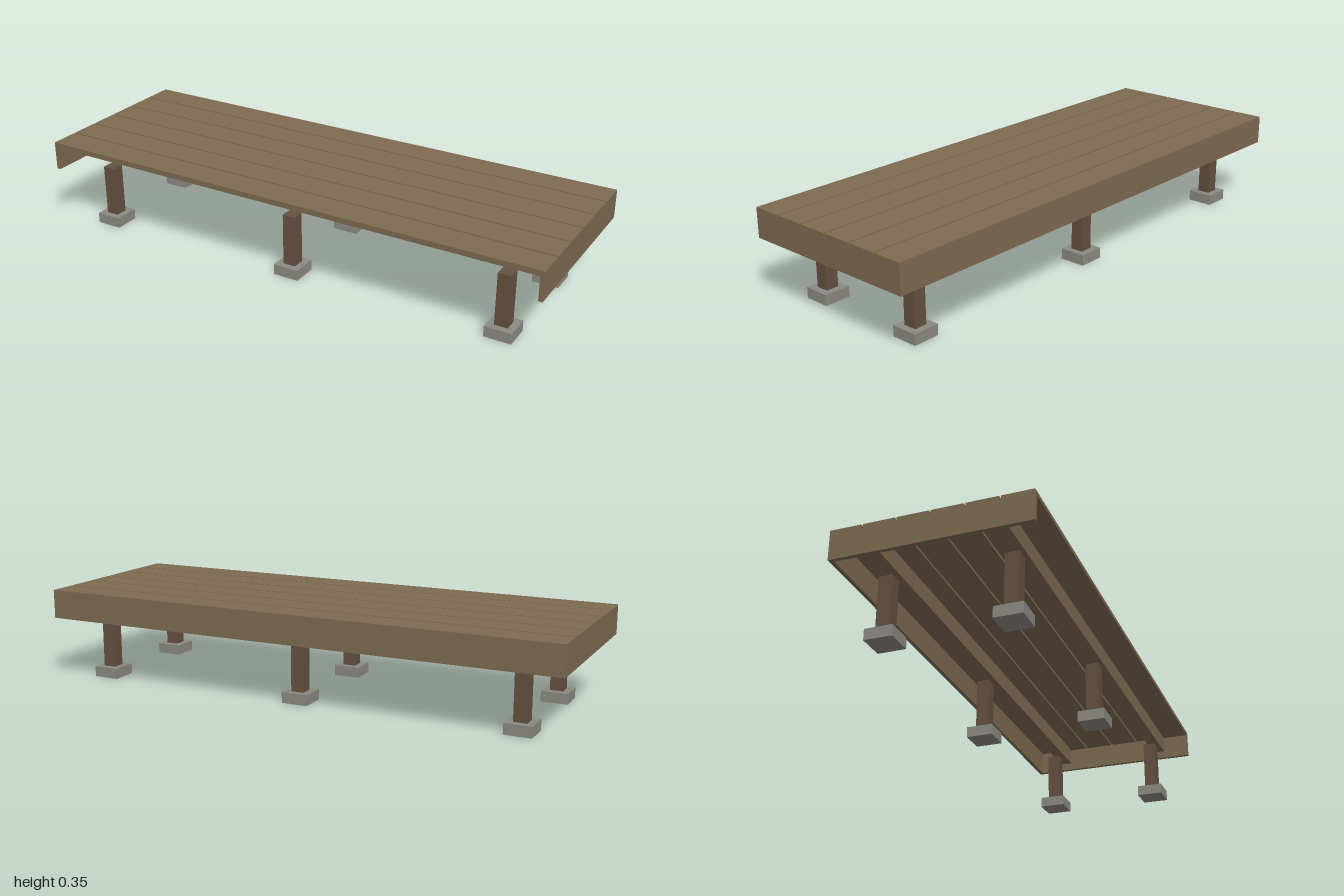
import * as THREE from 'three';

const wood = new THREE.MeshStandardMaterial({ color: 0x7d6a50 });
const postWood = new THREE.MeshStandardMaterial({ color: 0x645140 });
const concrete = new THREE.MeshStandardMaterial({ color: 0x8b8982 });

// Box standing on y0, centred on x and z
function box(name, material, [w, h, d], x, y0, z) {
  const mesh = new THREE.Mesh(new THREE.BoxGeometry(w, h, d), material);
  mesh.name = name;
  mesh.position.set(x, y0 + h / 2, z);
  return mesh;
}

export function createModel() {
  const model = new THREE.Group();
  model.name = 'deckPlatform';

  const length = 2, depth = 0.692, top = 0.346, thick = 0.015;
  const under = top - thick, skirtBottom = 0.237;

  // Deck boards with narrow gaps
  const count = 6, gap = 0.006;
  const boardWidth = (depth - gap * (count - 1)) / count;
  for (let i = 0; i < count; i++) {
    const z = -depth / 2 + boardWidth / 2 + i * (boardWidth + gap);
    model.add(box('deckBoard', wood, [length, thick, boardWidth], 0, under, z));
  }

  // Skirt boards on both ends and the back; the front stays open
  const skirtHeight = under - skirtBottom;
  for (const side of [-1, 1]) {
    model.add(box('endSkirt', wood, [thick, skirtHeight, depth],
      side * (length - thick) / 2, skirtBottom, 0));
  }
  model.add(box('backSkirt', wood, [length - 2 * thick, skirtHeight, thick],
    0, skirtBottom, -(depth - thick) / 2));

  // Two long beams, each above a row of posts on concrete footings
  for (const z of [-0.217, 0.217]) {
    model.add(box('beam', wood, [1.956, under - 0.265, 0.049], 0, 0.265, z));
    for (const x of [-0.83, 0, 0.83]) {
      model.add(box('post', postWood, [0.049, skirtBottom - 0.04, 0.049], x, 0.04, z));
      model.add(box('footing', concrete, [0.1, 0.04, 0.1], x, 0, z));
    }
  }
  return model;
}
